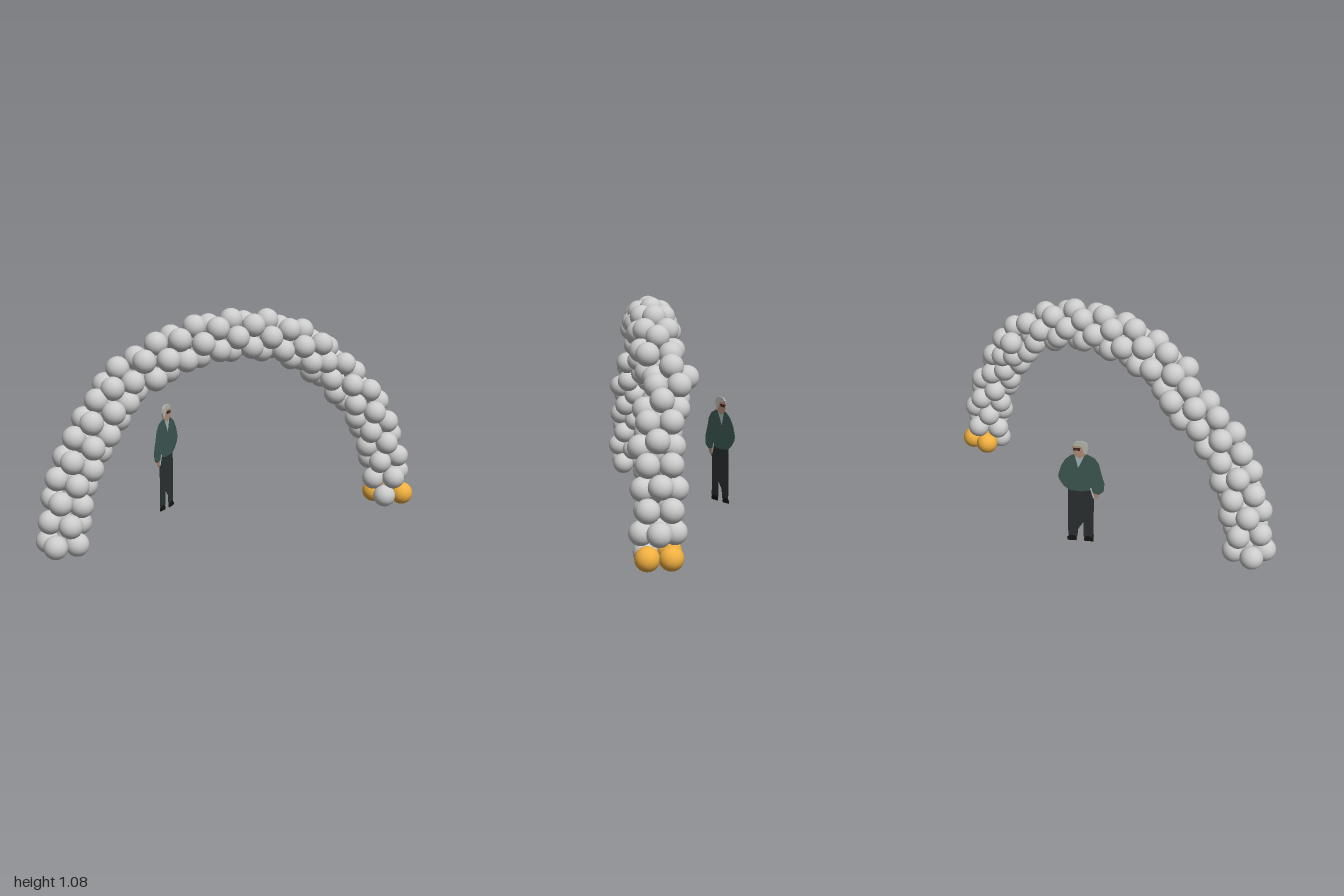
import * as THREE from 'three';

// Centre line of half the arch, ground to crown: [x, y, z]
const HALF = [
  [0.89, 0.058, 0.17], [0.875, 0.155, 0.17], [0.86, 0.25, 0.165], [0.835, 0.34, 0.16],
  [0.80, 0.425, 0.16], [0.755, 0.51, 0.165], [0.705, 0.585, 0.15], [0.64, 0.655, 0.135],
  [0.585, 0.72, 0.105], [0.52, 0.775, 0.082], [0.445, 0.83, 0.13], [0.36, 0.875, 0.13],
  [0.275, 0.91, 0.13], [0.18, 0.935, 0.13], [0.09, 0.945, 0.13], [0, 0.95, 0.13],
];
const BALLOON_RADIUS = 0.056;
const CLUSTER_RADIUS = 0.074;

const material = (color) => new THREE.MeshStandardMaterial({ color });

// Clusters of four balloons, every second one turned by 45 degrees
function balloonArch() {
  const arch = new THREE.Group();
  arch.name = 'balloonArch';
  const geometry = new THREE.SphereGeometry(BALLOON_RADIUS, 24, 16);
  const grey = material(0xcccccc);
  const yellow = material(0xf0b040);

  const right = HALF.map((p) => new THREE.Vector3(...p));
  const left = right.slice(0, -1).reverse().map((p) => new THREE.Vector3(-p.x, p.y, p.z));
  const centres = [...right, ...left];
  const last = centres.length - 1;

  centres.forEach((centre, i) => {
    const cluster = new THREE.Group();
    cluster.name = 'balloonCluster';
    const a = centres[Math.max(i - 1, 0)];
    const b = centres[Math.min(i + 1, last)];
    // outward direction within the arch plane; the foot clusters stand level
    const outward = i === 0 ? new THREE.Vector3(1, 0, 0)
      : i === last ? new THREE.Vector3(-1, 0, 0)
        : new THREE.Vector3(b.y - a.y, a.x - b.x, 0).normalize();
    for (let k = 0; k < 4; k++) {
      const angle = (k + (i % 2 ? 0 : 0.5)) * Math.PI / 2;
      // at the right foot all but the inner front balloon are yellow
      const balloon = new THREE.Mesh(geometry, i === 0 && k !== 1 ? yellow : grey);
      balloon.name = 'balloon';
      balloon.position.copy(centre).addScaledVector(outward, CLUSTER_RADIUS * Math.cos(angle));
      balloon.position.z += CLUSTER_RADIUS * Math.sin(angle);
      cluster.add(balloon);
    }
    arch.add(cluster);
  });
  return arch;
}

// Thin flat piece centred on its plane, so details show on both sides
function panel(name, color, depth, points) {
  const shape = new THREE.Shape(points.map(([x, y]) => new THREE.Vector2(x, y)));
  const geometry = new THREE.ExtrudeGeometry(shape, { depth, bevelEnabled: false });
  geometry.translate(0, 0, -depth / 2);
  const mesh = new THREE.Mesh(geometry, material(color));
  mesh.name = name;
  return mesh;
}

// Flat standing figure for scale
function standingFigure() {
  const figure = new THREE.Group();
  figure.name = 'scaleFigure';
  figure.add(
    panel('trousers', 0x2a3031, 0.002, [
      [-0.063, 0.40], [-0.064, 0.30], [-0.06, 0.15], [-0.061, 0.025], [-0.012, 0.025],
      [-0.01, 0.075], [-0.012, 0.11], [0.015, 0.07], [0.02, 0.025], [0.064, 0.025],
      [0.066, 0.15], [0.062, 0.40]]),
    panel('jacket', 0x3d5752, 0.004, [
      [-0.03, 0.478], [-0.065, 0.46], [-0.085, 0.43], [-0.095, 0.385], [-0.112, 0.325],
      [-0.108, 0.285], [-0.085, 0.265], [-0.06, 0.272], [-0.058, 0.29], [0.0, 0.278],
      [0.06, 0.284], [0.085, 0.305], [0.105, 0.335], [0.112, 0.36], [0.098, 0.41],
      [0.075, 0.45], [0.05, 0.47], [0.035, 0.478]]),
    panel('shirt', 0xa4b4ba, 0.006, [[-0.018, 0.478], [0.015, 0.405], [0.032, 0.478]]),
    panel('face', 0xb08d78, 0.007, [
      [-0.022, 0.53], [-0.025, 0.48], [0.005, 0.458], [0.03, 0.468], [0.04, 0.495], [0.038, 0.53]]),
    panel('hair', 0xb8b8b2, 0.008, [
      [-0.025, 0.485], [-0.034, 0.51], [-0.03, 0.535], [-0.005, 0.549], [0.025, 0.546],
      [0.04, 0.53], [0.036, 0.524], [0.0, 0.522], [-0.008, 0.505], [-0.014, 0.485]]),
    panel('glasses', 0x4a2523, 0.009, [[0.004, 0.513], [0.006, 0.499], [0.038, 0.499], [0.04, 0.513]]),
    panel('hand', 0xa8897a, 0.003, [
      [-0.085, 0.27], [-0.083, 0.248], [-0.07, 0.24], [-0.058, 0.25], [-0.058, 0.275]]),
    panel('paper', 0xb9bec2, 0.005, [[-0.064, 0.245], [-0.057, 0.245], [-0.042, 0.3], [-0.05, 0.3]]),
  );
  for (const x of [-0.037, 0.046]) {
    figure.add(panel('shoe', 0x171513, 0.004, [
      [x - 0.022, 0.003], [x + 0.022, 0.003], [x + 0.024, 0.018], [x + 0.012, 0.03],
      [x - 0.012, 0.03], [x - 0.024, 0.018]]));
  }
  figure.rotation.y = 0.6;
  figure.position.set(-0.18, 0, -0.235);
  return figure;
}

export function createModel() {
  const model = new THREE.Group();
  model.name = 'balloonArchScene';
  model.add(balloonArch(), standingFigure());
  return model;
}
